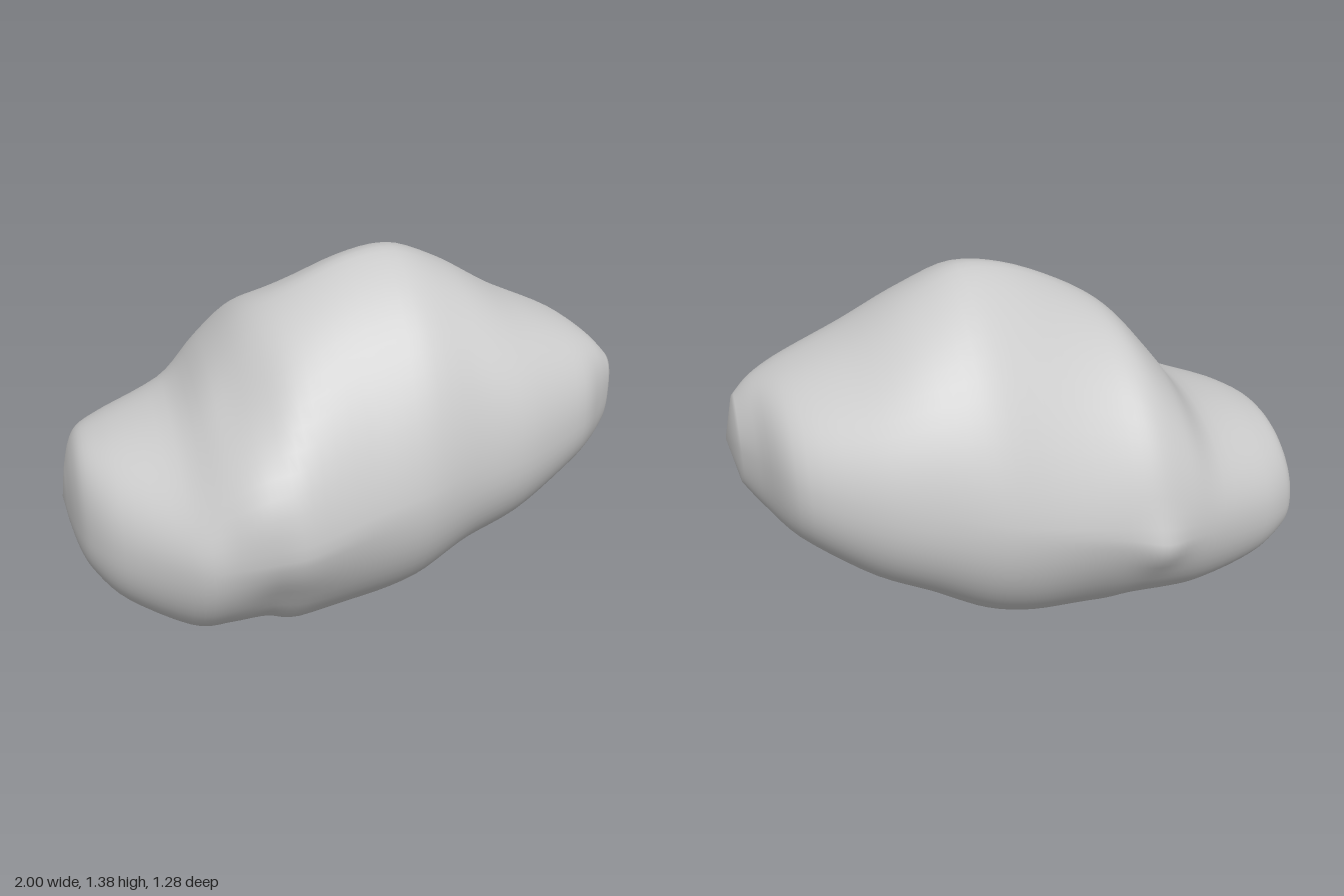
import * as THREE from 'three';

// Outline stations along x: [x, bottom, top, back z, front z]
const STATIONS = [
  [-0.985, 0.36, 0.56, -0.27, -0.08],
  [-0.96, 0.31, 0.67, -0.34, 0.08],
  [-0.92, 0.255, 0.745, -0.385, 0.21],
  [-0.82, 0.165, 0.795, -0.445, 0.36],
  [-0.6, 0.07, 0.875, -0.53, 0.56],
  [-0.47, 0.052, 1.03, -0.575, 0.605],
  [-0.35, 0.04, 1.17, -0.605, 0.63],
  [-0.23, 0.005, 1.25, -0.6, 0.645],
  [0, 0.05, 1.355, -0.595, 0.585],
  [0.19, 0.13, 1.38, -0.59, 0.56],
  [0.38, 0.25, 1.3, -0.55, 0.495],
  [0.58, 0.345, 1.18, -0.485, 0.45],
  [0.8, 0.5, 1.08, -0.35, 0.345],
  [0.9, 0.565, 1.015, -0.14, 0.25],
  [0.965, 0.64, 0.945, -0.02, 0.18],
];
const TIPS = [[-1, 0.44, -0.19], [1, 0.8, 0.1]];

// Local bumps (+) and hollows (-): x, y, z, radius, push away from the core
const BUMPS = [
  [-0.4, 0.77, 0.56, 0.15, 0.035],
  [-0.36, 1.0, 0.28, 0.16, -0.03],
  [-0.3, 0.4, 0.52, 0.13, -0.02],
  [-0.36, 0.54, -0.6, 0.09, 0.03],
  [-0.03, 0.06, -0.05, 0.1, -0.02],
];

const bell = (x, centre, width) => Math.exp(-(((x - centre) / width) ** 2));
const signedPow = (v, e) => Math.sign(v) * Math.abs(v) ** e;

// Smooth value of one station column at u
function sample(u, col) {
  const i = Math.min(Math.floor(u), STATIONS.length - 2);
  const at = (k) => STATIONS[Math.max(0, Math.min(STATIONS.length - 1, k))][col];
  const f = u - i, a = at(i), b = at(i + 1);
  const ma = (b - at(i - 1)) * 0.45, mb = (at(i + 2) - a) * 0.45;
  const f2 = f * f, f3 = f2 * f;
  return (2 * f3 - 3 * f2 + 1) * a + (f3 - 2 * f2 + f) * ma + (3 * f2 - 2 * f3) * b + (f3 - f2) * mb;
}

// Cross-section: tapering to a crest in the middle, rounder towards both ends
function boulderPoint(u, t) {
  const [x, bottom, top, back, front] = STATIONS[0].map((_, c) => sample(u, c));
  const c = Math.cos(t), s = Math.sin(t);
  const roundness = s > 0 ? 2.2 - 0.6 * bell(x, -0.03, 0.45) : 2.1 - 0.5 * bell(x, -0.25, 0.35);
  const cz = signedPow(c, 2 / roundness), sy = signedPow(s, 2 / roundness);
  const core = 0.64 + 0.18 * x, mid = (back + front) / 2;
  const crestShift = 0.03 - 0.12 * bell(x, -0.5, 0.25);
  const p = new THREE.Vector3(
    x,
    core + sy * (s > 0 ? top - core : core - bottom),
    mid + cz * (front - back) / 2 + crestShift * Math.max(0, sy) ** 2,
  );
  const out = new THREE.Vector3(0, p.y - core, p.z - mid).normalize();
  for (const [bx, by, bz, r, h] of BUMPS) {
    p.addScaledVector(out, h * bell(p.distanceTo(new THREE.Vector3(bx, by, bz)), 0, r));
  }
  return p;
}

export function createModel() {
  const group = new THREE.Group();
  group.name = 'rock';
  const rings = 64, sides = 64;
  const positions = [], index = [];

  // Skin lofted through the cross-sections
  for (let i = 0; i <= rings; i++) {
    for (let j = 0; j < sides; j++) {
      const p = boulderPoint((i / rings) * (STATIONS.length - 1), (j / sides) * Math.PI * 2);
      positions.push(p.x, Math.max(0, p.y), p.z);
    }
  }
  for (let i = 0; i < rings; i++) {
    for (let j = 0; j < sides; j++) {
      const a = i * sides + j, b = i * sides + (j + 1) % sides;
      index.push(a, a + sides, b, b, a + sides, b + sides);
    }
  }

  // Rounded ends closed to a point
  const left = positions.length / 3, right = left + 1, last = rings * sides;
  positions.push(...TIPS[0], ...TIPS[1]);
  for (let j = 0; j < sides; j++) {
    const k = (j + 1) % sides;
    index.push(left, j, k, right, last + k, last + j);
  }

  const geometry = new THREE.BufferGeometry();
  geometry.setAttribute('position', new THREE.Float32BufferAttribute(positions, 3));
  geometry.setIndex(index);
  geometry.computeVertexNormals();

  const boulder = new THREE.Mesh(geometry, new THREE.MeshStandardMaterial({ color: 0xcccccc }));
  boulder.name = 'boulder';
  group.add(boulder);
  return group;
}
